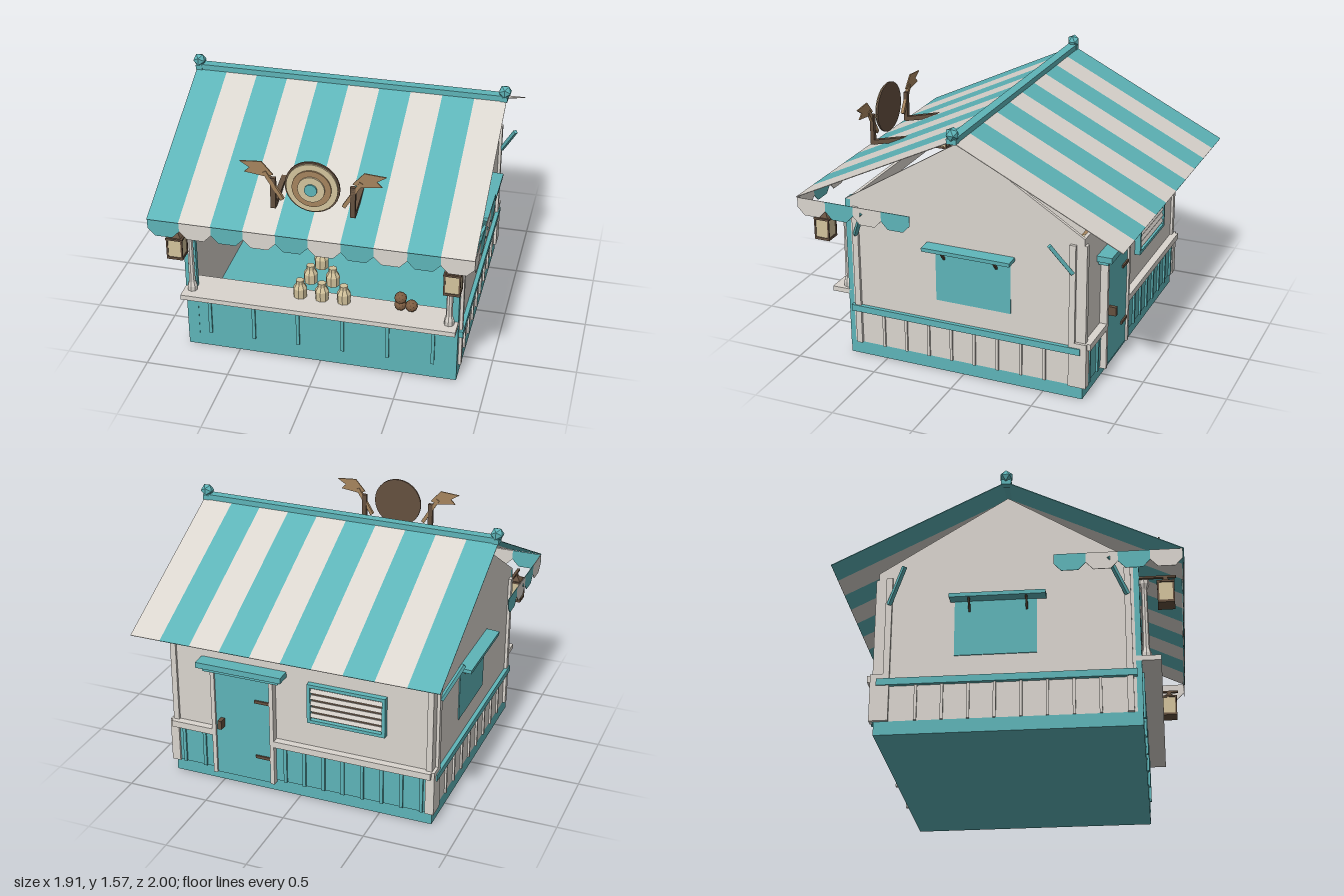
import * as THREE from 'three';

const mat = (name, color, side = THREE.FrontSide) => {
  const m = new THREE.MeshStandardMaterial({ color, side });
  m.name = name;
  return m;
};

export function createModel() {
  const root = new THREE.Group();
  root.name = 'marketStall';
  const teal = mat('teal', 0x5eb4b8), cream = mat('cream', 0xdad5ce), tan = mat('tan', 0xd3c39c);
  const wood = mat('wood', 0xa5845e), dark = mat('darkWood', 0x64503f), nut = mat('nutBrown', 0x7d5d42);

  // ---- helpers ----
  const add = (name, geo, m, x = 0, y = 0, z = 0) => {
    const mesh = new THREE.Mesh(geo, m);
    mesh.name = name;
    mesh.position.set(x, y, z);
    root.add(mesh);
    return mesh;
  };
  // box given by its min and max on every axis
  const box = (name, m, x0, x1, y0, y1, z0, z1) =>
    add(name, new THREE.BoxGeometry(Math.abs(x1 - x0), y1 - y0, Math.abs(z1 - z0)), m,
      (x0 + x1) / 2, (y0 + y1) / 2, (z0 + z1) / 2);
  // straight bar from a to b
  const beam = (name, m, a, b, w, h) => {
    const A = new THREE.Vector3(...a), B = new THREE.Vector3(...b);
    const mesh = add(name, new THREE.BoxGeometry(w, h, A.distanceTo(B)), m);
    mesh.position.copy(A).lerp(B, 0.5);
    mesh.lookAt(B);
    return mesh;
  };
  const flat = (g) => {
    const f = g.index ? g.toNonIndexed() : g;
    f.computeVertexNormals();
    return f;
  };
  const poly = (pts) => new THREE.Shape(pts.map((p) => new THREE.Vector2(...p)));
  const plate = (shape, depth) =>
    new THREE.ExtrudeGeometry(shape, { depth, bevelEnabled: false }).translate(0, 0, -depth / 2);
  const lathe = (pts, n) => flat(new THREE.LatheGeometry(pts.map((p) => new THREE.Vector2(...p)), n));

  // ---- base, walls and gables ----
  box('base', teal, -0.82, 0.82, 0, 0.08, -0.74, 0.74);
  box('backWall', cream, -0.82, 0.82, 0.08, 1, -0.74, -0.72);
  box('counterFront', teal, -0.82, 0.82, 0.08, 0.385, 0.71, 0.74);
  box('counterTop', cream, -0.82, 0.82, 0.385, 0.415, 0.62, 0.85);
  for (let i = 0; i < 6; i++) {
    const x = -0.678 + i * 0.271;
    box('counterBatten', teal, x - 0.01, x + 0.01, 0.1, 0.37, 0.74, 0.752);
  }
  const gable = plate(poly([[-0.74, 1], [0.74, 1], [0, 1.46]]), 0.02).rotateY(Math.PI / 2);

  // arched top of the serving opening
  const arch = new THREE.Shape();
  arch.moveTo(-0.75, 0.76);
  arch.quadraticCurveTo(-0.73, 0.9, -0.55, 0.93);
  arch.lineTo(0.55, 0.93);
  arch.quadraticCurveTo(0.73, 0.9, 0.75, 0.76);
  arch.lineTo(0.75, 1);
  arch.lineTo(-0.75, 1);
  add('openingArch', plate(arch, 0.02), cream, 0, 0, 0.725);

  // ---- everything mirrored on the two sides ----
  const column = lathe([[0, 0], [0.03, 0], [0.03, 0.03], [0.02, 0.06], [0.017, 0.43],
    [0.03, 0.46], [0.03, 0.5], [0, 0.5]], 8);
  const lanternCap = lathe([[0.058, 0], [0.02, 0.025], [0.012, 0.05], [0, 0.05]], 4).rotateY(Math.PI / 4);
  const scallop = plate(poly([[-0.0935, 1.01], [-0.0935, 0.95], [-0.05, 0.905], [0.05, 0.905],
    [0.0935, 0.95], [0.0935, 1.01]]), 0.004);
  const sideScallop = scallop.clone().rotateY(Math.PI / 2);
  for (const s of [-1, 1]) {
    box('sideWall', cream, s * 0.8, s * 0.82, 0.08, 1, -0.74, 0.71);
    add('gable', gable, cream, s * 0.81);
    box('frontJamb', teal, s * 0.75, s * 0.82, 0.08, 1, 0.71, 0.742);
    box('sideRail', teal, s * 0.82, s * 0.845, 0.29, 0.33, -0.73, 0.715);
    for (let i = 0; i < 8; i++) {
      const z = 0.513 - i * 0.146;
      box('sideBatten', cream, s * 0.82, s * 0.832, 0.08, 0.29, z - 0.008, z + 0.008);
    }
    for (const f of [-1, 1]) {
      box('cornerPost', cream, s * 0.82, s * 0.838, 0.08, 0.96, f * 0.658, f * 0.694);
      beam('roofBrace', teal, [s * 0.835, 0.79, f * 0.675], [s * 0.93, 0.98, f * 0.575], 0.022, 0.022);
    }
    // side window with its hood
    box('sideWindow', teal, s * 0.82, s * 0.826, 0.46, 0.8, -0.3, 0.165);
    const hood = box('windowHood', teal, s * 0.82, s * 0.9, 0.792, 0.815, -0.325, 0.22);
    hood.rotation.z = -s * 0.06;
    for (const z of [0.11, -0.215])
      beam('hoodBracket', dark, [s * 0.825, 0.73, z], [s * 0.88, 0.795, z], 0.012, 0.012);

    // front column and hanging lantern
    add('frontColumn', column, cream, s * 0.77, 0.415, 0.768);
    box('lanternArm', dark, s * 0.795, s * 0.813, 0.897, 0.909, 0.74, 0.95);
    box('lanternGlass', tan, s * 0.761, s * 0.847, 0.735, 0.85, 0.847, 0.933);
    box('lanternFoot', dark, s * 0.756, s * 0.852, 0.722, 0.737, 0.842, 0.938);
    box('lanternLid', dark, s * 0.754, s * 0.854, 0.848, 0.86, 0.84, 0.94);
    add('lanternCap', lanternCap, dark, s * 0.804, 0.858, 0.89);
    for (const a of [-1, 1]) for (const b of [-1, 1])
      box('lanternBar', dark, s * 0.804 + a * 0.043 - 0.005, s * 0.804 + a * 0.043 + 0.005,
        0.735, 0.85, 0.885 + b * 0.043, 0.895 + b * 0.043);

    // side valance
    for (let i = 0; i < 4; i++)
      add('sideValance', sideScallop, i % 2 ? teal : cream, s * 0.933, 0, 0.9 - i * 0.18).scale.z = 0.963;
    add('ridgeFinial', flat(new THREE.IcosahedronGeometry(0.041, 0)), teal, s * 0.922, 1.54, 0);
    box('finialFoot', teal, s * 0.9, s * 0.94, 1.485, 1.515, -0.03, 0.03);
  }

  // ---- striped roof and front valance ----
  for (let i = 0; i < 10; i++) {
    const x = -0.8415 + i * 0.187, m = i % 2 ? cream : teal;
    for (const s of [-1, 1]) beam('roofStripe', m, [x, 1.5, 0], [x, 1.01, s], 0.187, 0.004);
    add('frontValance', scallop, m, x, 0, 0.99);
  }
  box('ridgeBeam', teal, -0.935, 0.935, 1.49, 1.523, -0.028, 0.028);

  // ---- back: wainscot, door and vent ----
  for (const [x0, x1, n] of [[-0.82, 0.15, 8], [0.55, 0.82, 2]]) {
    box('backWainscot', teal, x0, x1, 0.08, 0.32, -0.75, -0.74);
    box('backRail', cream, x0, x1, 0.32, 0.36, -0.785, -0.74);
    for (let i = 0; i < n; i++) {
      const x = x0 + (i + 0.5) * (x1 - x0) / n;
      box('backBatten', teal, x - 0.01, x + 0.01, 0.08, 0.32, -0.762, -0.75);
    }
  }
  for (const s of [-1, 1]) {
    box('backCornerPost', cream, s * 0.785, s * 0.82, 0.36, 0.96, -0.755, -0.74);
    box('backCornerFoot', cream, s * 0.785, s * 0.838, 0.08, 0.36, -0.765, -0.694);
    box('doorFrame', cream, 0.35 + s * 0.175, 0.35 + s * 0.2, 0.065, 0.78, -0.785, -0.74);
  }
  box('door', teal, 0.175, 0.525, 0.065, 0.78, -0.772, -0.74);
  box('doorHood', teal, 0.08, 0.62, 0.78, 0.815, -0.83, -0.74);
  box('doorHoodTrim', teal, 0.11, 0.59, 0.75, 0.78, -0.8, -0.74);
  box('doorHandle', dark, 0.47, 0.495, 0.39, 0.445, -0.82, -0.772);
  for (const y of [0.23, 0.6]) box('doorHinge', dark, 0.175, 0.27, y - 0.009, y + 0.009, -0.782, -0.772);

  box('ventBacking', dark, -0.53, -0.07, 0.54, 0.77, -0.746, -0.74);
  for (const y of [0.53, 0.76]) box('ventFrame', teal, -0.54, -0.06, y, y + 0.02, -0.775, -0.74);
  for (const x of [-0.54, -0.08]) box('ventFrame', teal, x, x + 0.02, 0.53, 0.78, -0.775, -0.74);
  for (let i = 0; i < 5; i++) {
    const y = 0.576 + i * 0.04;
    box('ventSlat', cream, -0.52, -0.08, y - 0.013, y + 0.013, -0.766, -0.754).rotation.x = 0.35;
  }

  // ---- shelves and goods ----
  const jar = lathe([[0, 0], [0.04, 0], [0.042, 0.06], [0.025, 0.088], [0.025, 0.112], [0, 0.112]], 8);
  for (const y of [0.575, 0.772]) {
    box('shelf', wood, -0.725, 0.725, y, y + 0.018, -0.72, -0.54);
    for (let i = 0; i < 6; i++)
      add('shelfJar', jar, tan, -0.5 + i * 0.2, y + 0.018, -0.63).scale.set(0.9, 0.72, 0.9);
  }
  for (let r = 0; r < 3; r++)
    for (let i = 0; i < 3 - r; i++)
      add('counterJar', jar, tan, (i - (2 - r) / 2) * 0.132, 0.415 + r * 0.112, 0.69);
  for (const [x, y] of [[0.47, 0.45], [0.535, 0.45], [0.47, 0.495]])
    add('roundFruit', flat(new THREE.IcosahedronGeometry(0.037, 1)), nut, x, y, 0.69);

  // ---- target sign with brackets and pennants ----
  const rings = [[0.157, dark], [0.147, tan], [0.112, wood], [0.077, tan], [0.036, teal]];
  rings.forEach(([r, m], i) =>
    add('targetRing', new THREE.CylinderGeometry(r, r, 0.012, 28).rotateX(Math.PI / 2), m, 0, 1.275, 0.87 + i * 0.01));
  for (const s of [-1, 1]) {
    box('signPost', dark, s * 0.212, s * 0.242, 1.11, 1.3, 0.85, 0.874);
    beam('signBracket', dark, [s * 0.227, 1.122, 0.865], [s * 0.227, 1.2, 0.535], 0.03, 0.028);
    beam('pennantPole', wood, [s * 0.175, 1.17, 0.864], [s * 0.275, 1.335, 0.864], 0.02, 0.022);
    const pts = [[0.29, 1.395], [0.225, 1.32], [0.27, 1.305], [0.39, 1.32], [0.36, 1.35], [0.415, 1.385]];
    add('pennant', plate(poly(pts.map(([x, y]) => [s * x, y])), 0.008), wood, 0, 0, 0.864);
  }
  return root;
}
